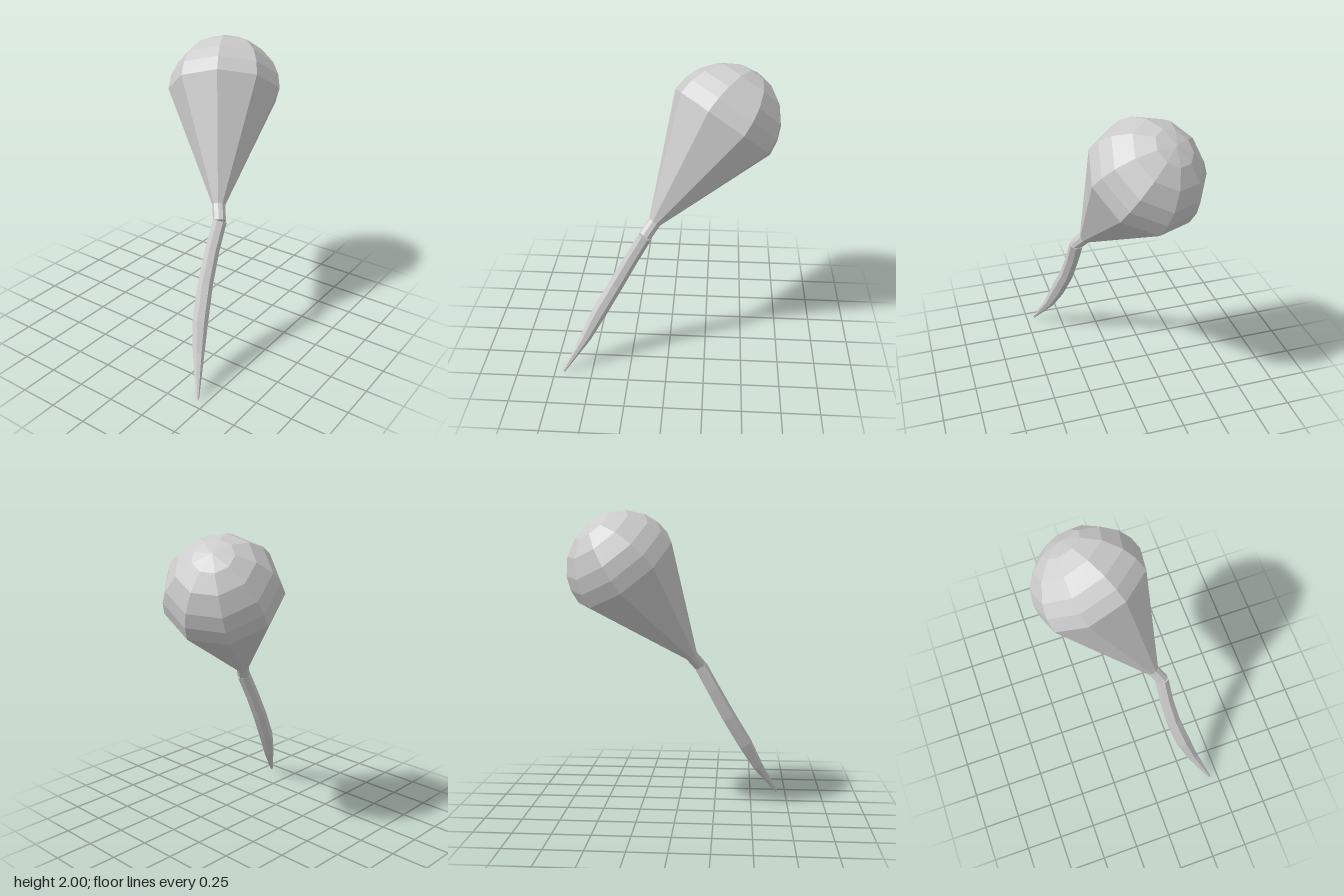
import * as THREE from 'three';

const V = (x, y, z) => new THREE.Vector3(x, y, z);

// Lofts regular polygon rings; each station is { c: centre, r: radius, n: axis }.
// refDir sets where the first corner of each ring points.
function loft(stations, sides, refDir) {
  const pos = [], index = [];
  for (const { c, r, n } of stations) {
    const u = refDir.clone().addScaledVector(n, -refDir.dot(n)).normalize();
    const v = n.clone().cross(u);
    for (let j = 0; j < sides; j++) {
      const a = (j / sides) * Math.PI * 2;
      const p = c.clone().addScaledVector(u, r * Math.cos(a)).addScaledVector(v, r * Math.sin(a));
      pos.push(p.x, p.y, p.z);
    }
  }
  const last = stations.length - 1;
  for (let i = 0; i < last; i++) {
    for (let j = 0; j < sides; j++) {
      const k = (j + 1) % sides;
      const a = i * sides + j, b = i * sides + k, d = b + sides, e = a + sides;
      index.push(a, b, d, a, d, e);
    }
  }
  // End caps
  const first = sides * (last + 1);
  for (const s of [stations[0], stations[last]]) pos.push(s.c.x, s.c.y, s.c.z);
  for (let j = 0; j < sides; j++) {
    const k = (j + 1) % sides;
    index.push(first, k, j, first + 1, last * sides + j, last * sides + k);
  }
  const geo = new THREE.BufferGeometry();
  geo.setAttribute('position', new THREE.Float32BufferAttribute(pos, 3));
  geo.setIndex(index);
  const flat = geo.toNonIndexed();
  flat.computeVertexNormals();
  return flat;
}

export function createModel() {
  const group = new THREE.Group();
  group.name = 'bulbWithTail';
  const material = new THREE.MeshStandardMaterial({ color: 0xcccccc, flatShading: true });
  const add = (name, geometry) => {
    const mesh = new THREE.Mesh(geometry, material);
    mesh.name = name;
    group.add(mesh);
  };

  // Bulb: short neck, straight cone, then a faceted half-sphere
  const R = 0.372;
  const centre = V(0.328, 1.627, -0.08);
  const axis = V(0.548, 0.77, -0.325).normalize();
  const bulb = [
    { c: V(-0.147, 0.957, 0.218), r: 0.042, n: axis },
    { c: V(-0.088, 1.035, 0.17), r: 0.043, n: axis },
  ];
  for (const deg of [0, 15, 30, 50, 70]) {
    const a = THREE.MathUtils.degToRad(deg);
    bulb.push({ c: centre.clone().addScaledVector(axis, R * Math.sin(a)), r: R * Math.cos(a), n: axis });
  }
  bulb.push({ c: centre.clone().addScaledVector(axis, R), r: 0.0001, n: axis });
  add('bulb', loft(bulb, 9, V(0.302, -0.217, 0)));

  // Tail: slender curved stalk tapering to a point
  const path = [
    [-0.69, 0.008, 0.44, 0.009],
    [-0.545, 0.23, 0.342, 0.038],
    [-0.455, 0.4, 0.29, 0.051],
    [-0.34, 0.6, 0.246, 0.05],
    [-0.237, 0.79, 0.225, 0.047],
    [-0.146, 0.956, 0.218, 0.046],
  ];
  const points = path.map(([x, y, z]) => V(x, y, z));
  const tail = path.map((p, i) => ({
    c: points[i],
    r: p[3],
    n: points[Math.min(i + 1, path.length - 1)].clone().sub(points[Math.max(i - 1, 0)]).normalize(),
  }));
  add('tail', loft(tail, 7, V(0.8, -0.5, 0.3)));

  return group;
}
